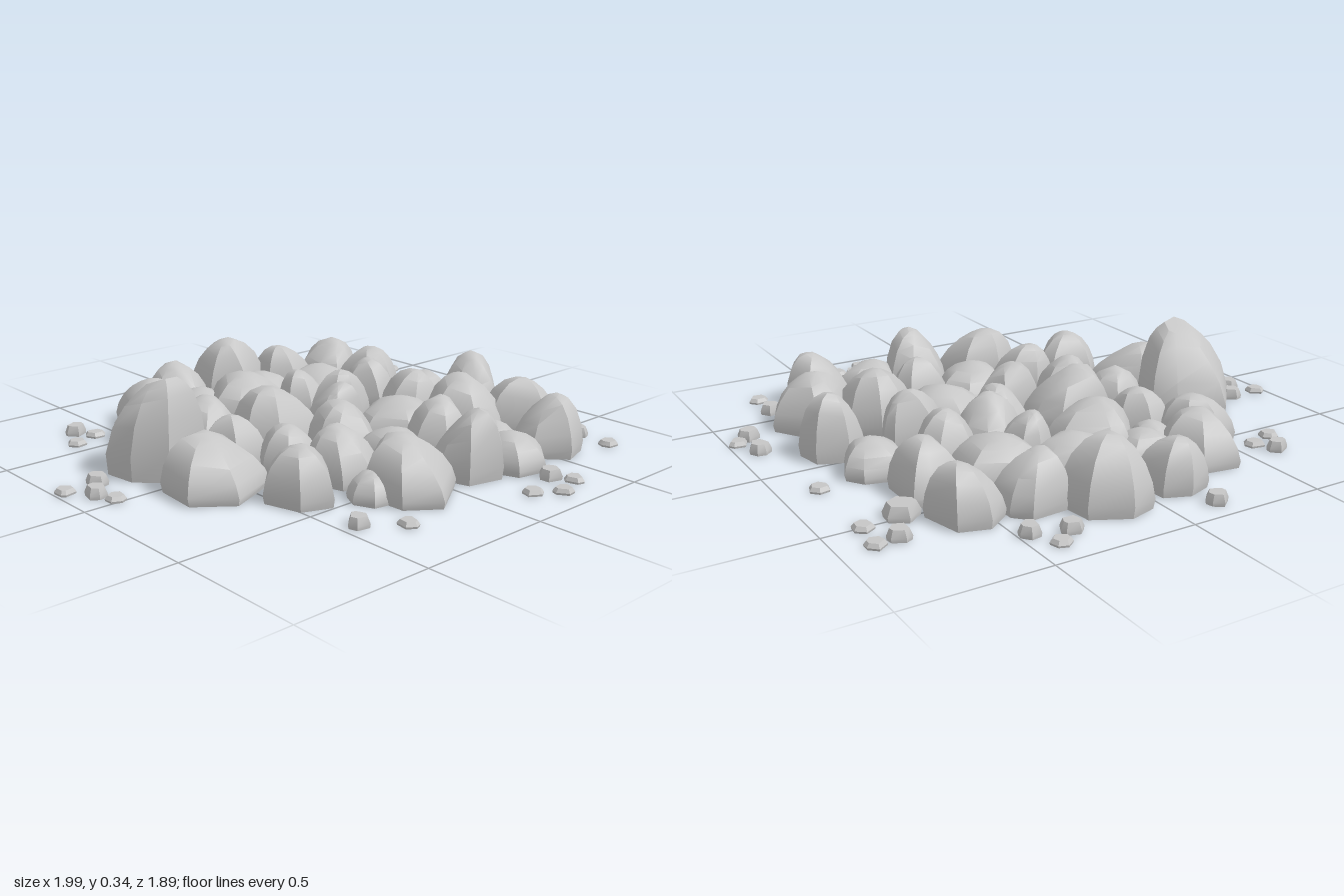
import * as THREE from 'three';
import { toCreasedNormals } from 'three/addons/utils/BufferGeometryUtils.js';

// Full-height boulders: x, z, radius, height
const BOULDERS = [
  [0.14, -0.73, 0.15, 0.23], [-0.13, -0.71, 0.125, 0.17], [-0.34, -0.61, 0.135, 0.18], [-0.46, -0.43, 0.135, 0.17],
  [0.34, -0.62, 0.125, 0.19], [0.56, -0.58, 0.125, 0.18], [0.58, -0.36, 0.13, 0.19], [0.7, 0.1, 0.12, 0.225],
  [0.67, 0.37, 0.148, 0.2], [0.55, 0.6, 0.125, 0.2], [-0.12, 0.58, 0.157, 0.2], [0.15, 0.57, 0.123, 0.23],
  [-0.42, 0.37, 0.125, 0.19], [-0.2, 0.33, 0.12, 0.19], [-0.58, 0.12, 0.175, 0.19], [-0.05, -0.37, 0.175, 0.2],
  [-0.14, -0.08, 0.168, 0.22], [-0.28, 0.15, 0.12, 0.17], [-0.03, 0.15, 0.132, 0.19], [0.23, -0.17, 0.12, 0.2],
  [0.43, -0.2, 0.118, 0.2], [0.12, -0.07, 0.11, 0.19], [0.43, 0.03, 0.128, 0.2], [0.47, 0.27, 0.15, 0.22],
  [0.24, 0.35, 0.12, 0.2], [-0.32, -0.28, 0.125, 0.17], [-0.36, -0.05, 0.115, 0.17], [0.17, -0.3, 0.1, 0.18],
];
// Low stones filling the gaps: x, z, radius
const FILLERS = [
  [0.65, -0.13, 0.12], [0.33, 0.62, 0.125], [0.02, 0.35, 0.15], [0.26, 0.13, 0.17], [0.33, -0.37, 0.17],
  [0.1, -0.5, 0.16], [0.37, 0.48, 0.11], [-0.26, 0.52, 0.08], [-0.26, -0.44, 0.09], [-0.16, -0.52, 0.12],
];
// Pebbles scattered around the rim: x, z
const THICK_PEBBLES = [
  [-0.16, -0.91], [0.34, -0.84], [0.46, -0.8], [0.8, -0.62], [0.92, 0.23], [0.91, 0.37], [0.75, 0.58],
  [0.32, 0.79], [-0.44, 0.65], [-0.9, -0.09], [-0.84, -0.18], [-0.62, -0.68],
];
const FLAT_PEBBLES = [
  [0.41, -0.895], [0.88, -0.63], [0.865, -0.51], [0.87, -0.18], [0.963, 0.33], [0.75, 0.72], [0.36, 0.86],
  [0.25, 0.9], [0.165, 0.84], [-0.32, 0.75], [-0.87, -0.02], [-0.963, -0.18], [-0.68, -0.57], [-0.58, -0.61],
];

// [height fraction, radius fraction] from the ground up
const DOME = [[0, 0.96], [0.15, 1], [0.4, 0.92], [0.65, 0.75], [0.85, 0.5], [0.96, 0.24]];
const TALL = [[0, 0.96], [0.25, 1], [0.55, 0.88], [0.78, 0.68], [0.9, 0.5], [0.99, 0.3]];
const CHIP = [[0, 0.95], [0.35, 1], [1, 0.74]];

// Irregular faceted stone lofted from polygon rings, with a shifted and tilted crown
function stone(rnd, radius, h, profile, sides, lean = [0, 0], tilt = [0, 0], closed = false) {
  const turn = rnd() * Math.PI * 2;
  const corners = Array.from({ length: sides }, (_, i) => ({
    a: turn + ((i + (rnd() - 0.5) * 0.6) / sides) * Math.PI * 2,
    r: 0.97 + rnd() * 0.12,
  }));
  const pos = [], index = [];
  for (const [t, f] of profile) {
    for (const { a, r } of corners) {
      const u = Math.cos(a) * r * f, v = Math.sin(a) * r * f;
      const y = t * h * (1 + u * tilt[0] + v * tilt[1]);
      pos.push(radius * (u + lean[0] * t * t), y, radius * (v + lean[1] * t * t));
    }
  }
  const last = (profile.length - 1) * sides;
  const top = pos.length / 3;
  pos.push(lean[0] * radius, h, lean[1] * radius, 0, 0, 0);
  for (let i = 0; i < sides; i++) {
    const n = (i + 1) % sides;
    for (let j = 0; j < last; j += sides) {
      index.push(j + i, j + sides + i, j + n, j + n, j + sides + i, j + sides + n);
    }
    index.push(last + i, top, last + n);
    if (closed) index.push(i, n, top + 1);
  }
  const g = new THREE.BufferGeometry();
  g.setAttribute('position', new THREE.Float32BufferAttribute(pos, 3));
  g.setIndex(index);
  return toCreasedNormals(g, 0.6);
}

export function createModel() {
  let seed = 29;
  const rnd = () => {
    seed = (seed * 16807) % 2147483647;
    return seed / 2147483647;
  };
  const randomPair = (size) => [(rnd() - 0.5) * size, (rnd() - 0.5) * size];

  const model = new THREE.Group();
  model.name = 'rockPile';
  const grey = new THREE.MeshStandardMaterial({ color: 0xc6c6c6, side: THREE.DoubleSide });
  grey.name = 'stoneGrey';

  const addGroup = (name) => {
    const group = new THREE.Group();
    group.name = name;
    model.add(group);
    return group;
  };
  const add = (name, geometry, x, z, parent) => {
    const mesh = new THREE.Mesh(geometry, grey);
    mesh.name = name;
    mesh.position.set(x, 0, z);
    parent.add(mesh);
  };

  // Overlapping hollow boulders
  const boulders = addGroup('boulders');
  BOULDERS.forEach(([x, z, r, h], i) => {
    add(`boulder${i + 1}`, stone(rnd, r, h, DOME, 6 + (i % 2), randomPair(0.4), randomPair(0.5)), x, z, boulders);
  });
  FILLERS.forEach(([x, z, r], i) => {
    add(`fillerStone${i + 1}`, stone(rnd, r, 0.05 + 0.6 * r, DOME, 7, randomPair(0.3)), x, z, boulders);
  });
  // Tallest boulder, its top rising toward the front
  add('tallBoulder', stone(rnd, 0.175, 0.32, TALL, 7, [0, 0.3], [0, 0.22]), -0.59, -0.2, boulders);

  // Loose pebbles
  const pebbles = addGroup('pebbles');
  const addPebble = (name, x, z, r, h) => {
    add(name, stone(rnd, r, h, CHIP, 6, [0, 0], [0, 0], true), x, z, pebbles);
  };
  THICK_PEBBLES.forEach(([x, z]) => addPebble('thickPebble', x, z, 0.039, 0.038));
  FLAT_PEBBLES.forEach(([x, z]) => addPebble('flatPebble', x, z, 0.036, 0.02));
  addPebble('largePebble', 0.73, -0.49, 0.062, 0.05);

  return model;
}
